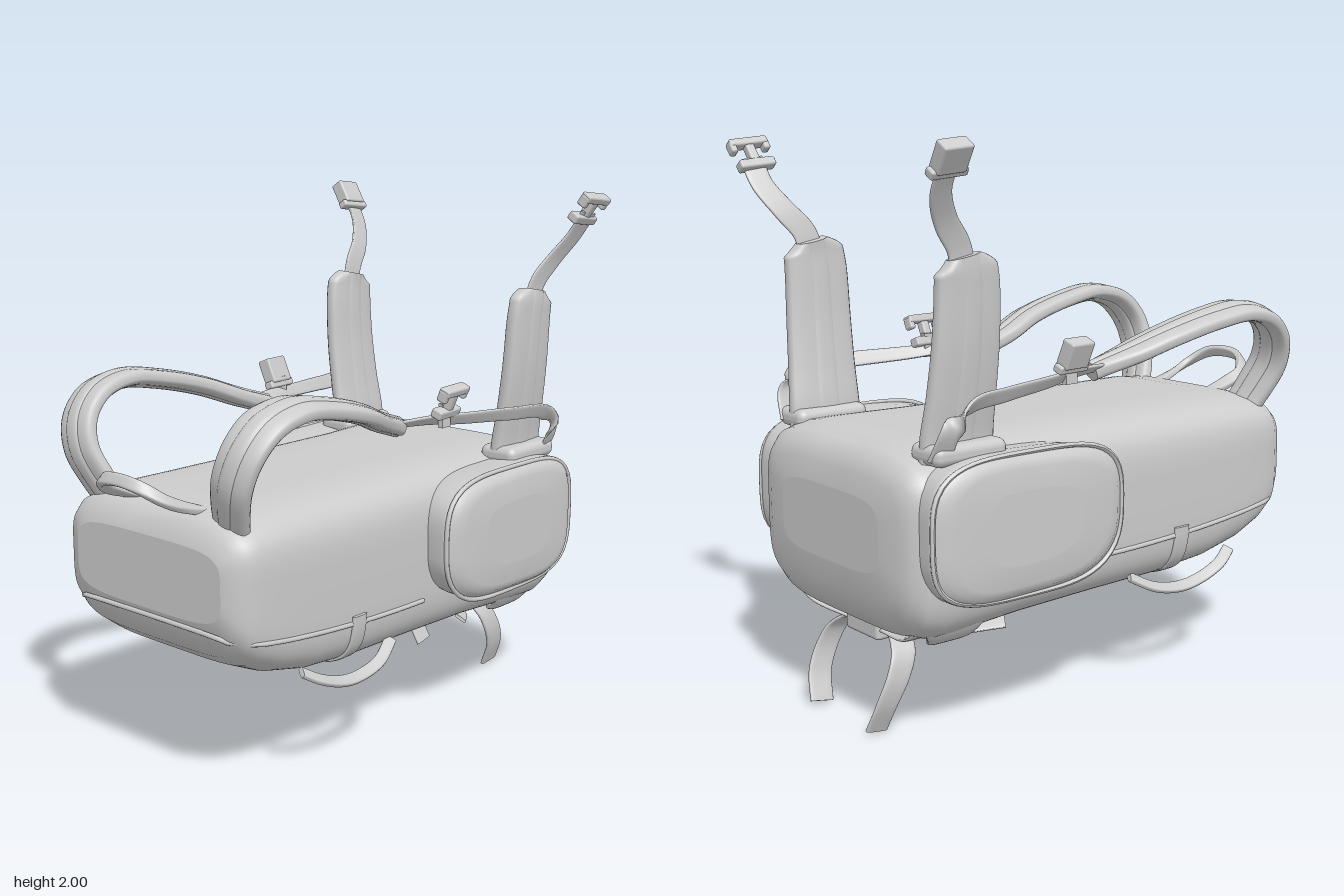
import * as THREE from 'three';
import { RoundedBoxGeometry } from 'three/addons/geometries/RoundedBoxGeometry.js';

const V = (x, y, z) => new THREE.Vector3(x, y, z);
const mat = new THREE.MeshStandardMaterial({ color: 0xcccccc, side: THREE.DoubleSide });

// Skin over closed rings of points, flat ends
function loft(rings) {
  const n = rings[0].length, pos = [], idx = [];
  rings.forEach(r => r.forEach(p => pos.push(p.x, p.y, p.z)));
  for (let i = 0; i < rings.length - 1; i++) for (let j = 0; j < n; j++) {
    const k = (j + 1) % n, a = i * n + j, b = i * n + k;
    idx.push(a, b, b + n, a, b + n, a + n);
  }
  [[rings[0], true], [rings[rings.length - 1], false]].forEach(([r, flip]) => {
    const start = pos.length / 3, c = V(0, 0, 0);
    r.forEach(p => { c.addScaledVector(p, 1 / n); pos.push(p.x, p.y, p.z); });
    pos.push(c.x, c.y, c.z);
    for (let j = 0; j < n; j++) {
      const a = start + j, b = start + (j + 1) % n;
      idx.push(...(flip ? [b, a, start + n] : [a, b, start + n]));
    }
  });
  const g = new THREE.BufferGeometry();
  g.setAttribute('position', new THREE.Float32BufferAttribute(pos, 3));
  g.setIndex(idx);
  g.computeVertexNormals();
  return g;
}

// Unit superellipse, exponent e
const oval = (n, e) => Array.from({ length: n }, (_, i) => {
  const t = (i + 0.5) / n * Math.PI * 2, c = Math.cos(t), s = Math.sin(t);
  return [Math.sign(c) * Math.abs(c) ** (2 / e), Math.sign(s) * Math.abs(s) ** (2 / e)];
});

const spread = (list, t) => {
  const f = t * (list.length - 1), i = Math.min(Math.floor(f), list.length - 2);
  return THREE.MathUtils.lerp(list[i], list[i + 1], f - i);
};

// Flat strap swept along points; widths are spread along it, side is its width direction
function band(points, widths, thick, side, steps = 40, e = 4) {
  const curve = new THREE.CatmullRomCurve3(points.map(p => V(...p)), false, 'centripetal');
  const rings = [], prof = oval(20, e);
  for (let i = 0; i <= steps; i++) {
    const t = i / steps, c = curve.getPoint(t), T = curve.getTangent(t);
    const s = Array.isArray(side[0]) ? V(...[0, 1, 2].map(k => spread(side.map(v => v[k]), t))) : V(...side);
    const W = s.addScaledVector(T, -s.dot(T)).normalize(), N = T.clone().cross(W);
    const w = spread(widths, t) / 2;
    rings.push(prof.map(([a, b]) => c.clone().addScaledVector(W, a * w).addScaledVector(N, b * thick / 2)));
  }
  return loft(rings);
}

const cord = (pts, r, closed = false) => new THREE.TubeGeometry(
  new THREE.CatmullRomCurve3(pts, closed), 64, r, 8, closed);

function mirrored(g) {
  const m = g.clone().scale(-1, 1, 1);
  if (m.index) {
    const a = m.index.array;
    for (let i = 0; i < a.length; i += 3) [a[i], a[i + 1]] = [a[i + 1], a[i]];
  }
  m.computeVertexNormals();
  return m;
}

// Body sections: z, half width, bottom, top
const SECTIONS = [
  [-0.97, 0.30, 0.58, 0.84], [-0.96, 0.40, 0.50, 0.91], [-0.94, 0.455, 0.43, 0.96], [-0.9, 0.49, 0.375, 0.995],
  [-0.83, 0.50, 0.35, 1.015], [-0.7, 0.48, 0.345, 1.02], [-0.45, 0.45, 0.35, 1.02], [-0.1, 0.45, 0.36, 1.02],
  [0.2, 0.45, 0.365, 1.02], [0.45, 0.45, 0.385, 1.02], [0.62, 0.45, 0.425, 1.02], [0.73, 0.445, 0.475, 1.01],
  [0.79, 0.435, 0.52, 0.995], [0.83, 0.41, 0.58, 0.965], [0.85, 0.36, 0.65, 0.91]];
const EXP = 4.6;
function bodyAt(z) {
  let i = 0;
  while (i < SECTIONS.length - 2 && z > SECTIONS[i + 1][0]) i++;
  const a = SECTIONS[i], b = SECTIONS[i + 1], t = THREE.MathUtils.clamp((z - a[0]) / (b[0] - a[0]), 0, 1);
  const [w, lo, hi] = [1, 2, 3].map(k => THREE.MathUtils.lerp(a[k], b[k], t));
  return { w, c: (lo + hi) / 2, h: (hi - lo) / 2 };
}
const arc = u => Math.max(0, 1 - Math.min(1, Math.abs(u)) ** EXP) ** (1 / EXP);
const sideX = (y, z) => { const s = bodyAt(z); return s.w * arc((y - s.c) / s.h); };
const underY = (x, z) => { const s = bodyAt(z); return s.c - s.h * arc(x / s.w); };

// Clip with a body block; the pronged half adds a neck, bar and hooks
function buckle(pronged) {
  const g = new THREE.Group();
  const box = (x, y, z, px, py, pz) => {
    const m = new THREE.Mesh(new RoundedBoxGeometry(x, y, z, 2, 0.008), mat);
    m.position.set(px, py, pz);
    g.add(m);
  };
  if (pronged) {
    box(0.045, 0.035, 0.14, 0, -0.045, 0);
    box(0.035, 0.08, 0.035, 0, 0, 0);
    box(0.045, 0.03, 0.15, 0, 0.045, 0);
    for (const s of [-1, 1]) box(0.04, 0.045, 0.025, 0, 0.03, s * 0.065);
  } else {
    box(0.055, 0.1, 0.11, 0, 0.01, 0);
    box(0.04, 0.03, 0.14, 0, -0.045, 0);
  }
  return g;
}

export function createModel() {
  const root = new THREE.Group();
  const add = (name, g) => { const m = new THREE.Mesh(g, mat); m.name = name; root.add(m); return m; };
  const pair = (name, g) => { add(name + 'Left', g); add(name + 'Right', mirrored(g)); };

  // Main bag
  const prof = oval(72, EXP);
  add('bagBody', loft(SECTIONS.map(([z, w, lo, hi]) =>
    prof.map(([a, b]) => V(a * w, (lo + hi) / 2 + b * (hi - lo) / 2, z)))));

  // Seam running round the front and both sides
  const seam = [];
  for (let i = 0; i <= 12; i++) {
    const z = -0.1 + 0.93 * i / 12, y = 0.54 + 0.07 * (i / 12) ** 2;
    seam.push(V(sideX(y, z), y, z));
  }
  const front = [V(0.34, 0.62, 0.843), V(0.15, 0.625, 0.847)];
  const flip = p => V(-p.x, p.y, p.z), half = [...seam, ...front];
  add('frontSeam', cord([...half, ...half.map(flip).reverse()], 0.009));

  // Side pockets, narrower toward the lower front
  const outline = oval(64, 3.6);
  const pocket = [[0.36, 0.95], [0.43, 0.98], [0.47, 1], [0.515, 1], [0.53, 1], [0.538, 0.975], [0.545, 0.95],
    [0.56, 0.9], [0.57, 0.8], [0.575, 0.5]];
  pair('sidePocket', loft(pocket.map(([x, s]) => outline.map(([a, b]) =>
    V(x, 0.745 + s * a * (0.245 + 0.012 * b * -1), -0.52 + s * b * 0.405 - (a < 0 && b > 0 ? 0.05 * a * a * b : 0))))));
  const rim = outline.map(([a, b]) =>
    V(0.537, 0.745 + a * 0.243, -0.52 + b * 0.402 - (a < 0 && b > 0 ? 0.05 * a * a * b : 0)));
  pair('pocketPiping', cord(rim, 0.009, true));

  // Padded shoulder straps with a raised centre strip
  const strap = [[0.29, 0.93, 0.72], [0.33, 1.03, 0.77], [0.375, 1.14, 0.805], [0.405, 1.24, 0.785],
    [0.42, 1.32, 0.71], [0.425, 1.355, 0.58], [0.415, 1.335, 0.42], [0.395, 1.285, 0.22], [0.355, 1.225, 0.06], [0.33, 1.18, -0.08]];
  const strapSide = [[1, -0.35, 0], [1, -0.25, 0], [1, -0.15, 0], [1, -0.1, 0], [1, 0, 0]];
  pair('shoulderStrap', band(strap, [0.15, 0.165, 0.17, 0.18, 0.18, 0.17, 0.15, 0.08], 0.062, strapSide, 60, 3));
  pair('shoulderStrapStrip', band(strap, [0.07, 0.08, 0.08, 0.08, 0.06, 0.04], 0.076, strapSide, 60, 3));

  // Adjuster webbing from the shoulder straps to the bag
  pair('adjusterWebbing', band([[0.34, 1.195, 0], [0.39, 1.195, -0.2], [0.43, 1.185, -0.35], [0.485, 1.175, -0.58],
    [0.52, 1.16, -0.75], [0.51, 1.09, -0.82], [0.46, 0.98, -0.84]], [0.05, 0.05, 0.06, 0.07, 0.08], 0.014,
  [[1, 0.5, 0], [0.7, 1, 0], [0.5, 1, 0], [0.4, 0.8, 0.6], [0.2, 0, 1]]));

  // Waist wings with flared roots
  const wing = [[0.40, 0.97, -0.725], [0.405, 1.05, -0.725], [0.425, 1.18, -0.72], [0.445, 1.35, -0.715],
    [0.455, 1.52, -0.715], [0.458, 1.59, -0.722], [0.456, 1.63, -0.73]];
  pair('waistWing', band(wing, [0.29, 0.285, 0.27, 0.26, 0.25, 0.24, 0.12], 0.07, [0, 0, 1], 40, 3));
  pair('waistWingStrip', band(wing, [0.12, 0.12, 0.11, 0.1, 0.1, 0.09], 0.08, [0, 0, 1], 40, 3));
  const pad = new RoundedBoxGeometry(0.16, 0.07, 0.29, 4, 0.03);
  for (const s of [-1, 1]) add('wingRoot', pad).position.set(s * 0.415, 1.0, -0.725);
  pair('waistWebbing', band([[0.455, 1.58, -0.73], [0.465, 1.66, -0.755], [0.49, 1.74, -0.82], [0.54, 1.83, -0.875],
    [0.595, 1.92, -0.885]], [0.1, 0.09, 0.085, 0.085], 0.014, [0, 0.3, 1]));

  // Clips: pronged on one side, socket on the other
  for (const s of [1, -1]) {
    const hip = buckle(s > 0), chest = buckle(s > 0);
    hip.name = 'waistBuckle';
    hip.position.set(s * 0.6, 1.935, -0.88);
    hip.rotation.set(-0.1, 0, -s * 0.6);
    chest.name = 'chestBuckle';
    chest.position.set(s * 0.44, 1.265, -0.25);
    chest.rotation.set(0, 0.1, -s * 0.4);
    root.add(hip, chest);
    add('chestTab', new THREE.BoxGeometry(0.02, 0.09, 0.05)).position.set(s * 0.415, 1.21, -0.25);
  }

  // Grab handle
  add('grabHandle', band([[-0.15, 0.99, 0.7], [-0.155, 1.025, 0.81], [-0.15, 1.06, 0.89], [-0.09, 1.105, 0.945],
    [0, 1.118, 0.955], [0.09, 1.105, 0.945], [0.15, 1.06, 0.89], [0.155, 1.025, 0.81], [0.15, 0.99, 0.7]],
  [0.06, 0.045, 0.045, 0.045, 0.06], 0.028, [[1, 0, 0], [0.6, 0.6, -0.4], [0, 1, -0.5], [-0.6, 0.6, -0.4], [-1, 0, 0]], 48));

  // Lower side loops and tabs
  pair('lowerLoop', band([[0.43, 0.44, 0.54], [0.45, 0.4, 0.47], [0.45, 0.36, 0.36], [0.445, 0.348, 0.26],
    [0.44, 0.37, 0.14], [0.41, 0.42, 0.04]], [0.045], 0.02, [0.8, -0.6, 0]) && band([[0.43, 0.44, 0.54],
    [0.45, 0.4, 0.47], [0.45, 0.36, 0.36], [0.445, 0.348, 0.26], [0.44, 0.37, 0.14], [0.41, 0.42, 0.04]],
  [0.045, 0.045], 0.02, [0.8, -0.6, 0]));
  const tab = [0.58, 0.52, 0.46, 0.42, 0.39, 0.375].map(y => [sideX(y, 0.265) + 0.004, y, 0.265]);
  pair('sideTab', band(tab, [0.07, 0.07], 0.014, [0, 0, 1], 16));

  // Oval panel with crossed seams underneath
  const under = (x, z) => V(x, underY(x, z) - 0.002, z);
  const ring = Array.from({ length: 32 }, (_, i) => under(0.3 * Math.cos(i * Math.PI / 16), 0.3 + 0.25 * Math.sin(i * Math.PI / 16)));
  add('underPanelRim', cord(ring, 0.008, true));
  const line = [-1, -0.5, 0, 0.5, 1];
  add('underPanelSeam', cord(line.map(t => under(0.3 * t, 0.3)), 0.006));
  for (const x of [-0.12, 0.12]) add('underPanelSeam', cord(line.map(t => under(x, 0.3 + 0.23 * t)), 0.006));

  // Rear underside tabs, clip and hanging straps
  pair('rearTab', band([[0.42, 0.45, -0.74], [0.4, 0.4, -0.74], [0.37, 0.36, -0.74], [0.32, 0.34, -0.74]],
    [0.28, 0.24, 0.18, 0.12], 0.03, [0, 0, 1], 16));
  pair('underWebbing', band([[0.34, 0.345, -0.48], [0.24, 0.325, -0.62], [0.08, 0.315, -0.78]],
    [0.05, 0.05], 0.012, [1, 0, 1], 20));
  pair('rearWebbing', band([[0.4, 0.42, -0.85], [0.3, 0.355, -0.84], [0.08, 0.325, -0.8]],
    [0.07, 0.07], 0.012, [0, 0, 1], 20));
  add('rearClip', new RoundedBoxGeometry(0.2, 0.07, 0.12, 3, 0.015)).position.set(0, 0.325, -0.79);
  pair('hangingStrap', band([[0.08, 0.325, -0.78], [0.15, 0.315, -0.79], [0.205, 0.27, -0.815], [0.225, 0.2, -0.85],
    [0.215, 0.11, -0.89], [0.175, 0.01, -0.91]], [0.08, 0.09, 0.09, 0.09], 0.016, [0, 0, 1]));
  return root;
}
